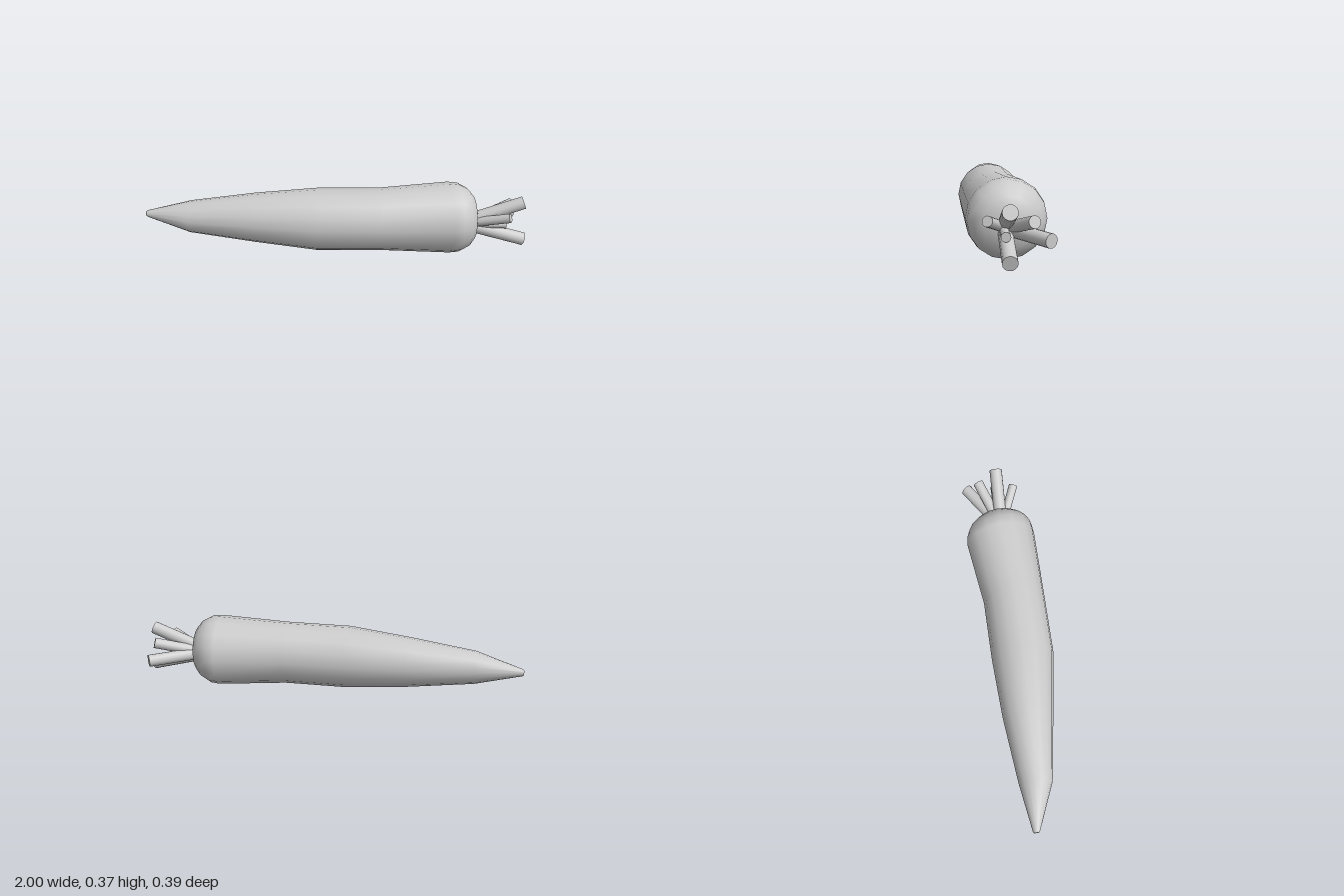
import * as THREE from 'three';

const SIDES = 16;
const material = new THREE.MeshStandardMaterial({ color: 0xcccccc });

// Root cross-sections from tip to crown: x, centre y, centre z, radius, lean of the ring
const RINGS = [
  [-1.0, 0.195, -0.005, 0, 0],
  [-1.0, 0.195, -0.005, 0.013, 0],
  [-0.992, 0.195, -0.004, 0.018, 0],
  [-0.76, 0.193, 0.02, 0.084, -0.05],
  [-0.42, 0.192, 0.022, 0.129, -0.03],
  [-0.1, 0.191, 0.032, 0.162, 0],
  [0.23, 0.191, 0.023, 0.163, 0.06],
  [0.59, 0.19, -0.01, 0.186, 0.1],
  [0.64, 0.19, -0.012, 0.181, 0.1],
  [0.686, 0.19, -0.013, 0.156, 0.1],
  [0.718, 0.19, -0.014, 0.116, 0.09],
  [0.734, 0.19, -0.015, 0.06, 0.06],
  [0.737, 0.19, -0.015, 0, 0],
];

// Stems: base point, tip point, radius
const STEMS = [
  [[0.69, 0.178, 0.002], [0.974, 0.282, 0.002], 0.034],
  [[0.69, 0.155, 0.003], [0.988, 0.075, 0.003], 0.034],
  [[0.69, 0.162, 0.0], [0.942, 0.156, -0.17], 0.032],
  [[0.69, 0.162, 0.0], [0.932, 0.234, -0.102], 0.028],
  [[0.69, 0.165, 0.005], [0.896, 0.232, 0.091], 0.024],
  [[0.69, 0.165, 0.01], [0.89, 0.163, 0.013], 0.022],
];

// Smooth skin lofted through the rings
function loftRoot() {
  const positions = [], index = [];
  RINGS.forEach(([x, cy, cz, r, lean], i) => {
    for (let j = 0; j < SIDES; j++) {
      const a = (j / SIDES) * Math.PI * 2;
      const dz = r * Math.sin(a);
      positions.push(x + lean * dz, cy + r * Math.cos(a), cz + dz);
      if (i === RINGS.length - 1) continue;
      const k = (j + 1) % SIDES;
      const p = i * SIDES + j, q = i * SIDES + k;
      if (i > 0) index.push(p, q, p + SIDES);
      if (i < RINGS.length - 2) index.push(q, q + SIDES, p + SIDES);
    }
  });
  const geometry = new THREE.BufferGeometry();
  geometry.setAttribute('position', new THREE.Float32BufferAttribute(positions, 3));
  geometry.setIndex(index);
  geometry.computeVertexNormals();
  return geometry;
}

// Straight round stem between two points
function makeStem([base, tip, radius]) {
  const a = new THREE.Vector3(...base), b = new THREE.Vector3(...tip);
  const dir = b.clone().sub(a);
  const stem = new THREE.Mesh(new THREE.CylinderGeometry(radius, radius, dir.length(), 14), material);
  stem.position.copy(a).add(b).multiplyScalar(0.5);
  stem.quaternion.setFromUnitVectors(new THREE.Vector3(0, 1, 0), dir.normalize());
  return stem;
}

export function createModel() {
  const model = new THREE.Group();
  model.name = 'carrot';

  const root = new THREE.Mesh(loftRoot(), material);
  root.name = 'root';
  model.add(root);

  // Cut leaf stalks fanning out of the crown
  const stems = new THREE.Group();
  stems.name = 'stems';
  STEMS.forEach((spec, i) => {
    const stem = makeStem(spec);
    stem.name = `stem${i + 1}`;
    stems.add(stem);
  });
  model.add(stems);
  return model;
}
